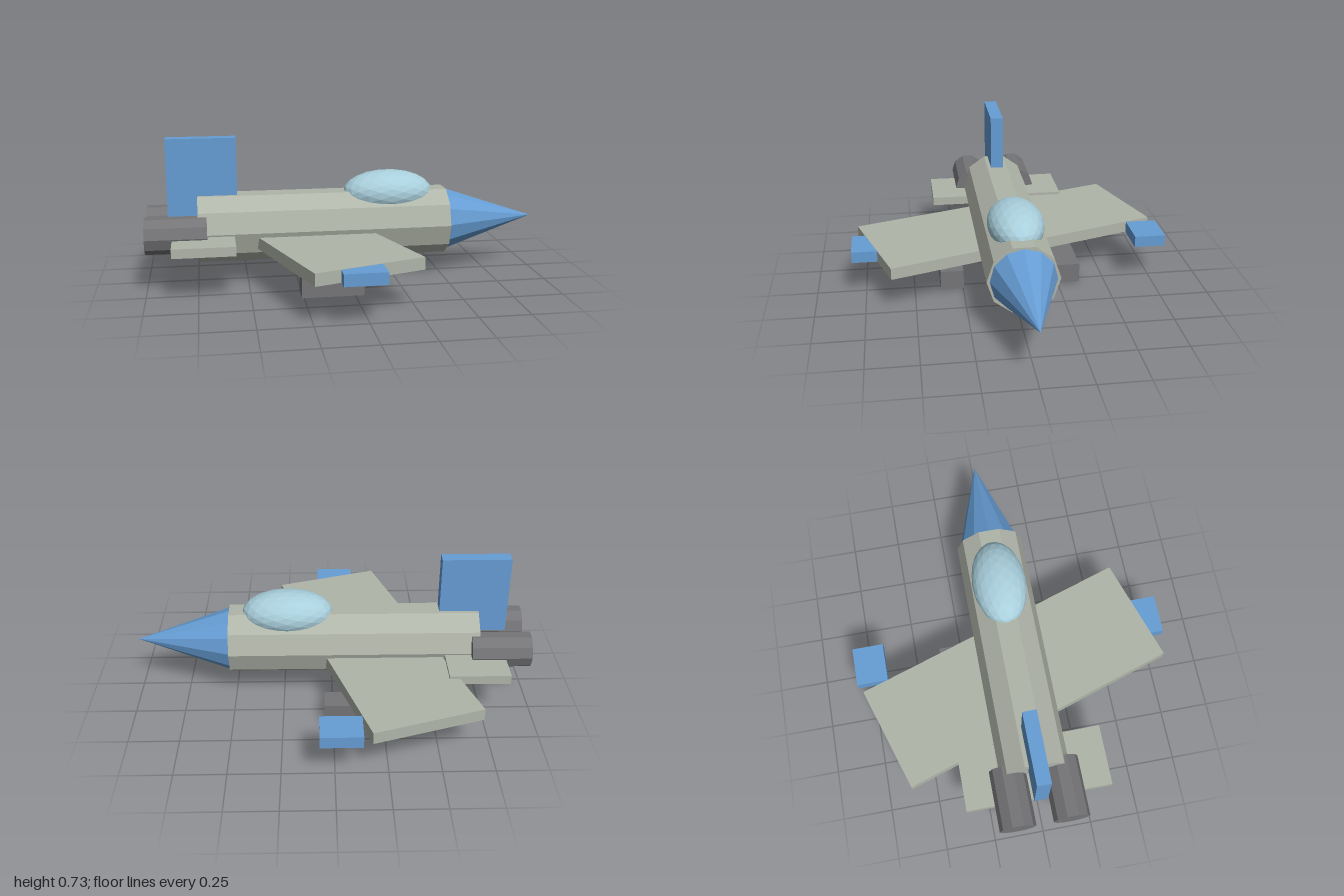
import * as THREE from 'three';

const flat = (name, color) => {
  const m = new THREE.MeshStandardMaterial({ color });
  m.name = name;
  m.flatShading = true;
  return m;
};

export function createModel() {
  const group = new THREE.Group();
  group.name = 'jetPlane';
  const hull = flat('hullGrey', 0xb0b5a9);
  const blue = flat('trimBlue', 0x669dd4);
  const dark = flat('darkGrey', 0x757578);
  const glass = flat('canopyBlue', 0xa9cfdc);

  const add = (name, geometry, material, x, y, z) => {
    const mesh = new THREE.Mesh(geometry, material);
    mesh.name = name;
    mesh.position.set(x, y, z);
    group.add(mesh);
    return mesh;
  };
  // Box given by its lower and upper limits
  const box = (name, material, [x0, x1], [y0, y1], [z0, z1]) =>
    add(name, new THREE.BoxGeometry(x1 - x0, y1 - y0, z1 - z0), material,
      (x0 + x1) / 2, (y0 + y1) / 2, (z0 + z1) / 2);
  // Tube or cone lying along x
  const barrel = (name, material, [x0, x1], rFront, rBack, sides, y, z) =>
    add(name, new THREE.CylinderGeometry(rFront, rBack, x1 - x0, sides).rotateZ(-Math.PI / 2),
      material, (x0 + x1) / 2, y, z);

  // Fuselage and nose, pointing along +x
  barrel('fuselage', hull, [-0.743, 0.524], 0.176, 0.176, 10, 0.278, 0);
  barrel('noseCone', blue, [0.524, 1], 0, 0.161, 12, 0.278, 0);

  // Canopy bubble
  add('canopy', new THREE.IcosahedronGeometry(1, 3).scale(0.23, 0.11, 0.14), glass, 0.226, 0.435, 0);

  // One wing plank through the hull, turned about the vertical axis
  add('wing', new THREE.BoxGeometry(0.556, 0.06, 1.471), hull, -0.21, 0.225, 0).rotation.y = 0.311;

  // Tail
  box('tailplane', hull, [-0.869, -0.567], [0.224, 0.27], [-0.366, 0.366]);
  box('tailFin', blue, [-0.89, -0.545], [0.33, 0.734], [-0.034, 0.034]);

  // Mirrored parts on the +z and -z sides
  for (const s of [1, -1]) {
    const side = s > 0 ? 'front' : 'rear';
    barrel(side + 'Engine', dark, [-1, -0.7], 0.091, 0.091, 10, 0.277, s * 0.134);
    box(side + 'WingTip', blue, [-0.128, 0.071], [0.196, 0.254], s > 0 ? [0.652, 0.812] : [-0.812, -0.652]);
    box(side + 'Pod', dark, [-0.26, 0.043], [0, 0.102], s > 0 ? [0.246, 0.366] : [-0.366, -0.246]);
  }
  return group;
}
